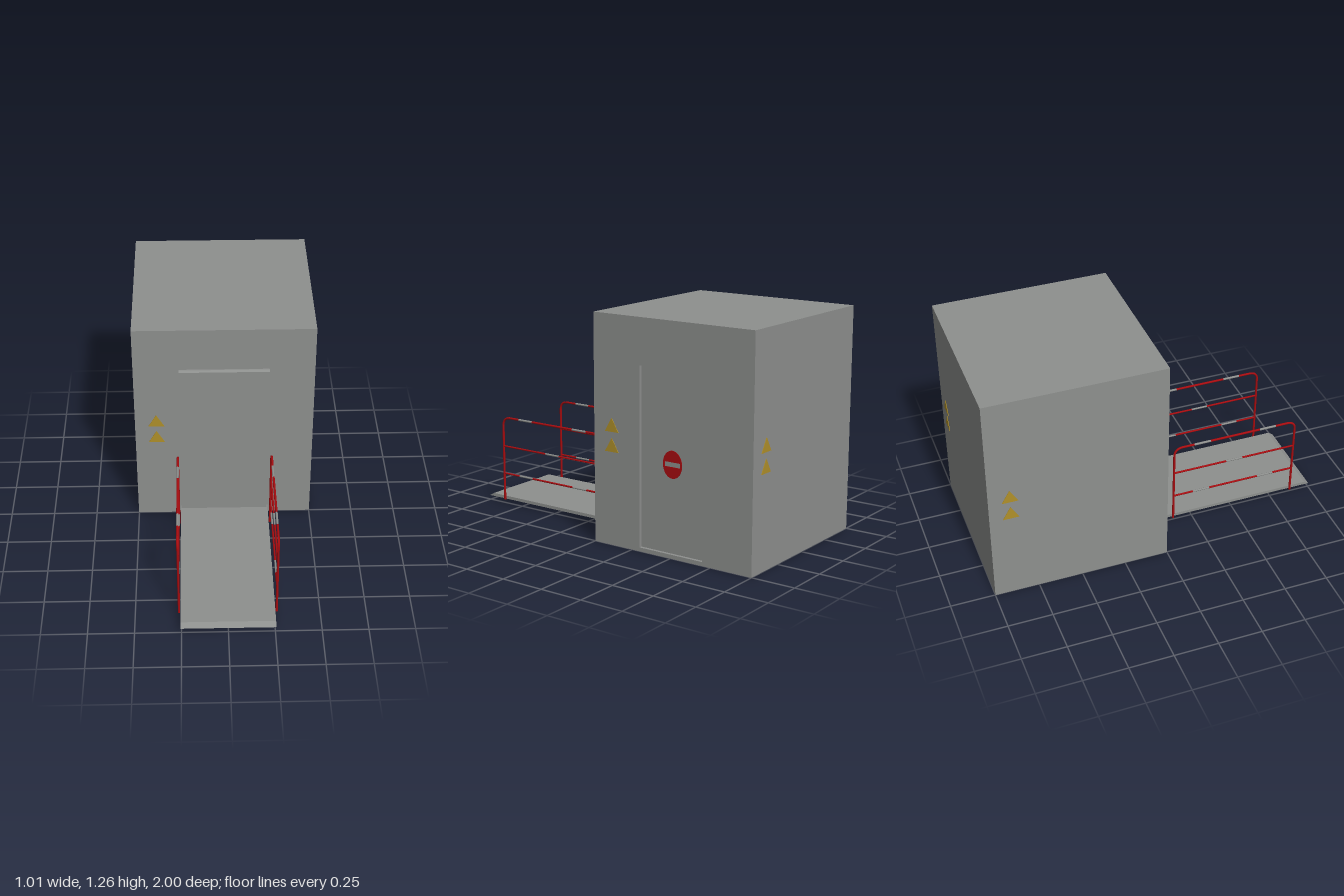
import * as THREE from 'three';

const mat = (name, color, side = THREE.FrontSide) => {
  const m = new THREE.MeshStandardMaterial({ color, side });
  m.name = name;
  return m;
};

export function createModel() {
  const grey = mat('concrete grey', 0x8e908e);
  const red = mat('signal red', 0xa80c10);
  const yellow = mat('warning yellow', 0xb0902a);

  const root = new THREE.Group();
  root.name = 'kioskWithRamp';
  const add = (parent, name, geometry, material, x = 0, y = 0, z = 0) => {
    const mesh = new THREE.Mesh(geometry, material);
    mesh.name = name;
    mesh.position.set(x, y, z);
    parent.add(mesh);
    return mesh;
  };
  const polygon = (points) => new THREE.Shape(points.map(([x, y]) => new THREE.Vector2(x, y)));
  const extrude = (shape, depth) =>
    new THREE.ExtrudeGeometry(shape, { depth, bevelEnabled: false, curveSegments: 24 });

  // Cabin: a solid box plus a right wall with a recessed door opening
  const W = 0.502, H = 1.263, recess = 0.018;
  add(root, 'cabin', new THREE.BoxGeometry(2 * W - recess, H, 1), grey, -recess / 2, H / 2, -0.5);
  const wall = polygon([[-0.5, 0], [0.5, 0], [0.5, H], [-0.5, H]]);
  wall.holes.push(polygon([[-0.2, 0.022], [-0.2, 1.01], [0.2, 1.01], [0.2, 0.022]]));
  add(root, 'rightWall', extrude(wall, recess), grey, W - recess, 0, -0.5).rotation.y = Math.PI / 2;

  // Round no-entry sign with a slot, on the recessed door
  const disc = new THREE.Shape().absellipse(0, 0, 0.06, 0.075, 0, Math.PI * 2);
  disc.holes.push(polygon([[-0.049, -0.013], [-0.049, 0.013], [0.049, 0.013], [0.049, -0.013]]));
  add(root, 'noEntrySign', extrude(disc, 0.003), red, W - recess, 0.506, -0.5).rotation.y = Math.PI / 2;

  // Front door: slab with a slightly sloped top edge
  const doorProfile = polygon([[0, 0.04], [0.022, 0.04], [0.022, 1.004], [0.008, 1.01], [0, 1.01]]);
  add(root, 'frontDoor', extrude(doorProfile, 0.5), grey, 0.25).rotation.y = -Math.PI / 2;

  // Ramp with a bevelled leading edge
  const rampProfile = polygon([[0, 0.027], [1, 0.027], [0.97, 0.045], [0, 0.045]]);
  add(root, 'ramp', extrude(rampProfile, 0.51), grey, 0.255).rotation.y = -Math.PI / 2;

  // A pair of warning triangles on each of the four walls
  const triangle = extrude(polygon([[-0.045, -0.038], [0.045, -0.038], [0, 0.038]]), 0.003);
  for (let i = 0; i < 4; i++) {
    const signs = new THREE.Group();
    signs.name = 'warningSigns' + (i + 1);
    signs.position.z = -0.5;
    signs.rotation.y = i * Math.PI / 2;
    const face = i % 2 ? W : 0.5;
    add(signs, 'upperTriangle', triangle, yellow, -0.382, 0.668, face);
    add(signs, 'lowerTriangle', triangle, yellow, -0.382, 0.558, face);
    root.add(signs);
  }

  // Handrails: striped bars between two rounded posts
  const z0 = 0.131, z1 = 0.872, top = 0.527, bend = 0.045;
  const v = (y, z) => new THREE.Vector3(0, y, z);
  const bar = (parent, name, y, from, to, r, material) => {
    const geometry = new THREE.CylinderGeometry(r, r, to - from, 10).rotateX(Math.PI / 2);
    add(parent, name, geometry, material, 0, y, (from + to) / 2);
  };
  const stripes = (parent, name, y, cuts, r) => {
    for (let i = 0; i < cuts.length - 1; i++) {
      bar(parent, name + (i + 1), y, cuts[i], cuts[i + 1], r, i % 2 ? grey : red);
    }
  };
  for (const side of [-1, 1]) {
    const rail = new THREE.Group();
    rail.name = side > 0 ? 'leftHandrail' : 'rightHandrail';
    rail.position.x = side * 0.263;
    for (const [name, z, dir] of [['rearPost', z0, 1], ['frontPost', z1, -1]]) {
      const post = new THREE.CylinderGeometry(0.0065, 0.0065, top - bend - 0.025, 10);
      add(rail, name, post, red, 0, (top - bend + 0.025) / 2, z);
      const curve = new THREE.QuadraticBezierCurve3(v(top - bend, z), v(top - 0.004, z + dir * 0.004), v(top, z + dir * bend));
      add(rail, name + 'Bend', new THREE.TubeGeometry(curve, 8, 0.0065, 10), red);
    }
    stripes(rail, 'topBar', top, [z0 + bend, 0.25, 0.35, 0.65, 0.75, z1 - bend], 0.0065);
    stripes(rail, 'middleBar', 0.353, [z0, 0.45, 0.55, z1], 0.0055);
    stripes(rail, 'lowerBar', 0.187, [z0, 0.25, 0.35, 0.65, 0.75, z1], 0.0055);
    root.add(rail);
  }
  return root;
}
